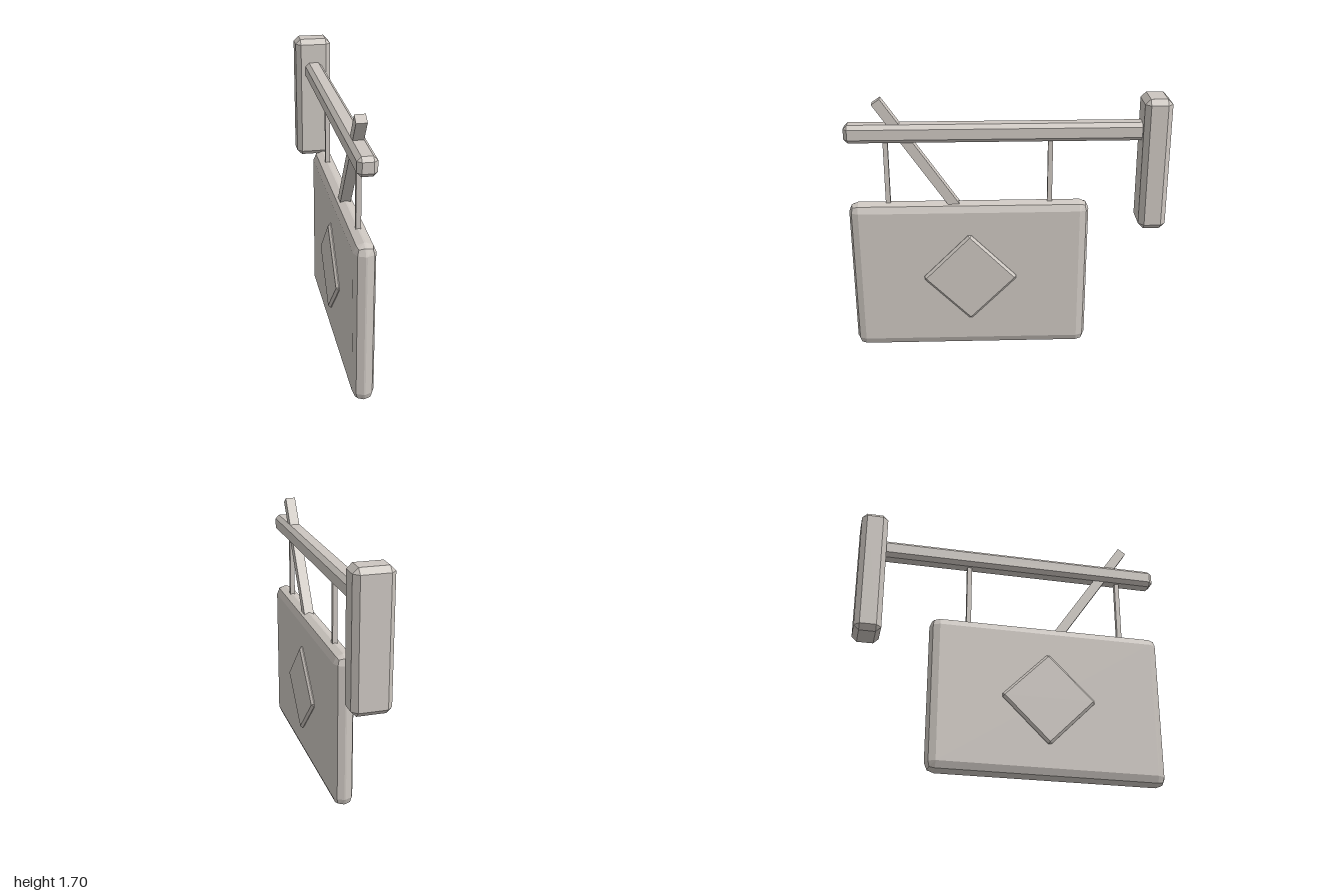
import * as THREE from 'three';
import { RoundedBoxGeometry } from 'three/addons/geometries/RoundedBoxGeometry.js';
import { ConvexGeometry } from 'three/addons/geometries/ConvexGeometry.js';

// Box with every edge cut by a flat chamfer c
function chamferBox(w, h, d, c) {
  const points = [];
  for (const sx of [-1, 1]) for (const sy of [-1, 1]) for (const sz of [-1, 1]) {
    const x = w / 2, y = h / 2, z = d / 2;
    points.push(
      new THREE.Vector3(sx * x, sy * (y - c), sz * (z - c)),
      new THREE.Vector3(sx * (x - c), sy * y, sz * (z - c)),
      new THREE.Vector3(sx * (x - c), sy * (y - c), sz * z),
    );
  }
  return new ConvexGeometry(points);
}

export function createModel() {
  const group = new THREE.Group();
  group.name = 'hangingSign';
  const stone = new THREE.MeshStandardMaterial({ color: 0xccc6c0 });
  stone.name = 'pale stone';

  function add(name, geometry, y, z) {
    const mesh = new THREE.Mesh(geometry, stone);
    mesh.name = name;
    mesh.position.set(0, y, z);
    group.add(mesh);
    return mesh;
  }

  // Wall post and the beam reaching forward from it
  add('wallPost', chamferBox(0.24, 0.845, 0.17, 0.033), 1.2725, -0.915);
  add('beam', chamferBox(0.115, 0.115, 1.87, 0.025), 1.4775, 0.065);

  // Sign board with faceted rounded edges
  const board = new RoundedBoxGeometry(0.13, 1.02, 1.52, 1, 0.06);
  board.computeVertexNormals();
  add('signBoard', board, 0.51, 0.24);

  // Diamond standing proud of both sides of the board
  const diamond = add('diamondEmblem', chamferBox(0.17, 0.434, 0.434, 0.015), 0.51, 0.24);
  diamond.rotation.x = Math.PI / 4;

  // Hanging rods
  for (const [name, z] of [['frontRod', 0.75], ['rearRod', -0.27]]) {
    add(name, new THREE.BoxGeometry(0.03, 0.46, 0.03), 1.22, z);
  }

  // Slanted brace passing through the beam
  const top = new THREE.Vector2(0.795, 1.678), bottom = new THREE.Vector2(0.3, 0.955);
  const brace = add('brace', new THREE.BoxGeometry(0.064, top.distanceTo(bottom), 0.062),
    (top.y + bottom.y) / 2, (top.x + bottom.x) / 2);
  brace.rotation.x = Math.atan2(top.x - bottom.x, top.y - bottom.y);

  return group;
}
